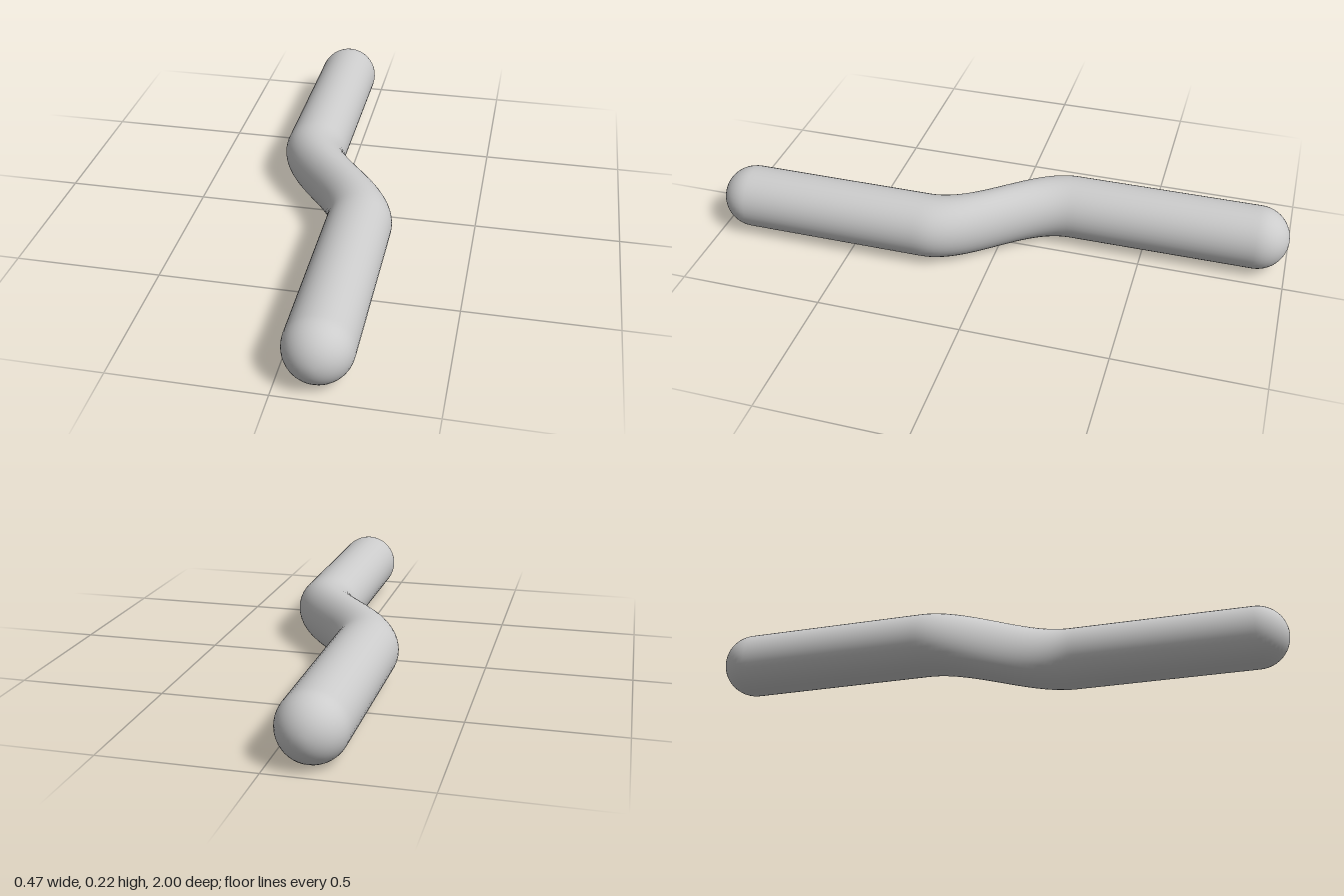
import * as THREE from 'three';
import { mergeVertices } from 'three/addons/utils/BufferGeometryUtils.js';

const RADIUS = 0.111;
const OFFSET = 0.124; // sideways distance of each straight half from the centre
const BEND = 0.24;    // half length of the S-bend along z

// Sideways position of the rod's centre line at depth z
function centreX(z) {
  const t = THREE.MathUtils.clamp(z / BEND, -1, 1);
  return OFFSET * Math.sin(t * Math.PI / 2);
}

export function createModel() {
  const model = new THREE.Group();
  model.name = 'offsetRod';

  // Round-ended rod along z, its cross-sections shifted sideways into an S-bend
  let geometry = new THREE.CapsuleGeometry(RADIUS, 2 - 2 * RADIUS, 12, 40, 90);
  geometry.rotateX(Math.PI / 2);
  const position = geometry.attributes.position;
  for (let i = 0; i < position.count; i++) {
    position.setX(i, position.getX(i) + centreX(position.getZ(i)));
  }

  // Weld the seam so that the shading is smooth all round
  geometry.deleteAttribute('uv');
  geometry.deleteAttribute('normal');
  geometry = mergeVertices(geometry, 1e-5);
  geometry.computeVertexNormals();

  const rod = new THREE.Mesh(geometry, new THREE.MeshStandardMaterial({ color: 0xcccccc }));
  rod.name = 'bentRod';
  rod.position.y = RADIUS;
  model.add(rod);
  return model;
}
